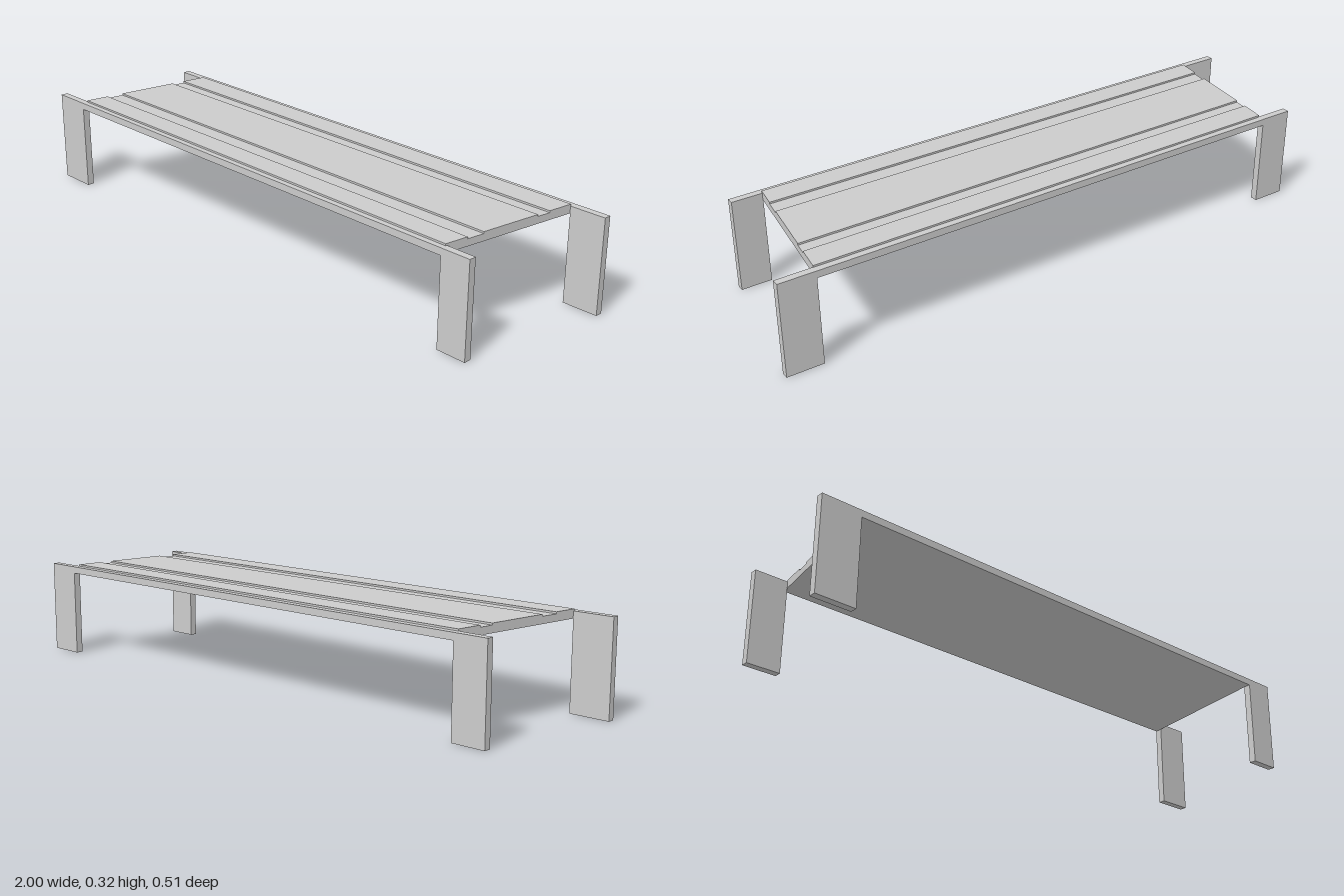
import * as THREE from 'three';

const material = new THREE.MeshStandardMaterial({ color: 0xcccccc, flatShading: true });

function addMesh(group, name, geometry) {
  const mesh = new THREE.Mesh(geometry, material);
  mesh.name = name;
  group.add(mesh);
}

// Skewed ends of the deck at a given depth
const leftEnd = z => -0.831 - 0.148 * z;
const rightEnd = z => 0.847 - 0.14 * z;

// Horizontal slab between two depths, with ends following the skew
function slab(z0, z1, y0, y1) {
  const shape = new THREE.Shape([
    new THREE.Vector2(leftEnd(z1), -z1),
    new THREE.Vector2(rightEnd(z1), -z1),
    new THREE.Vector2(rightEnd(z0), -z0),
    new THREE.Vector2(leftEnd(z0), -z0),
  ]);
  return new THREE.ExtrudeGeometry(shape, { depth: y1 - y0, bevelEnabled: false })
    .rotateX(-Math.PI / 2).translate(0, y0, 0);
}

// Flat side frame: two legs joined by a thin rail along the top
function portal(x0, x1, x2, x3, z0, z1) {
  const top = 0.312, rail = 0.289;
  const outline = [[x0, 0], [x1, 0], [x1, rail], [x2, rail], [x2, 0], [x3, 0], [x3, top], [x0, top]];
  const shape = new THREE.Shape(outline.map(([x, y]) => new THREE.Vector2(x, y)));
  return new THREE.ExtrudeGeometry(shape, { depth: z1 - z0, bevelEnabled: false }).translate(0, 0, z0);
}

export function createModel() {
  const model = new THREE.Group();
  model.name = 'bench';

  // Leg frames, offset sideways from each other
  addMesh(model, 'frontLegFrame', portal(-1, -0.866, 0.813, 0.915, 0.234, 0.258));
  addMesh(model, 'backLegFrame', portal(-0.91, -0.796, 0.88, 1, -0.257, -0.233));

  // Deck between the frames
  addMesh(model, 'deck', slab(-0.233, 0.234, 0.289, 0.312));

  // Raised planks with grooves between them
  const planks = { backPlank: [-0.235, -0.15], middlePlank: [-0.104, 0.101], frontPlank: [0.16, 0.239] };
  for (const [name, [z0, z1]] of Object.entries(planks)) {
    addMesh(model, name, slab(z0, z1, 0.311, 0.318));
  }
  return model;
}
